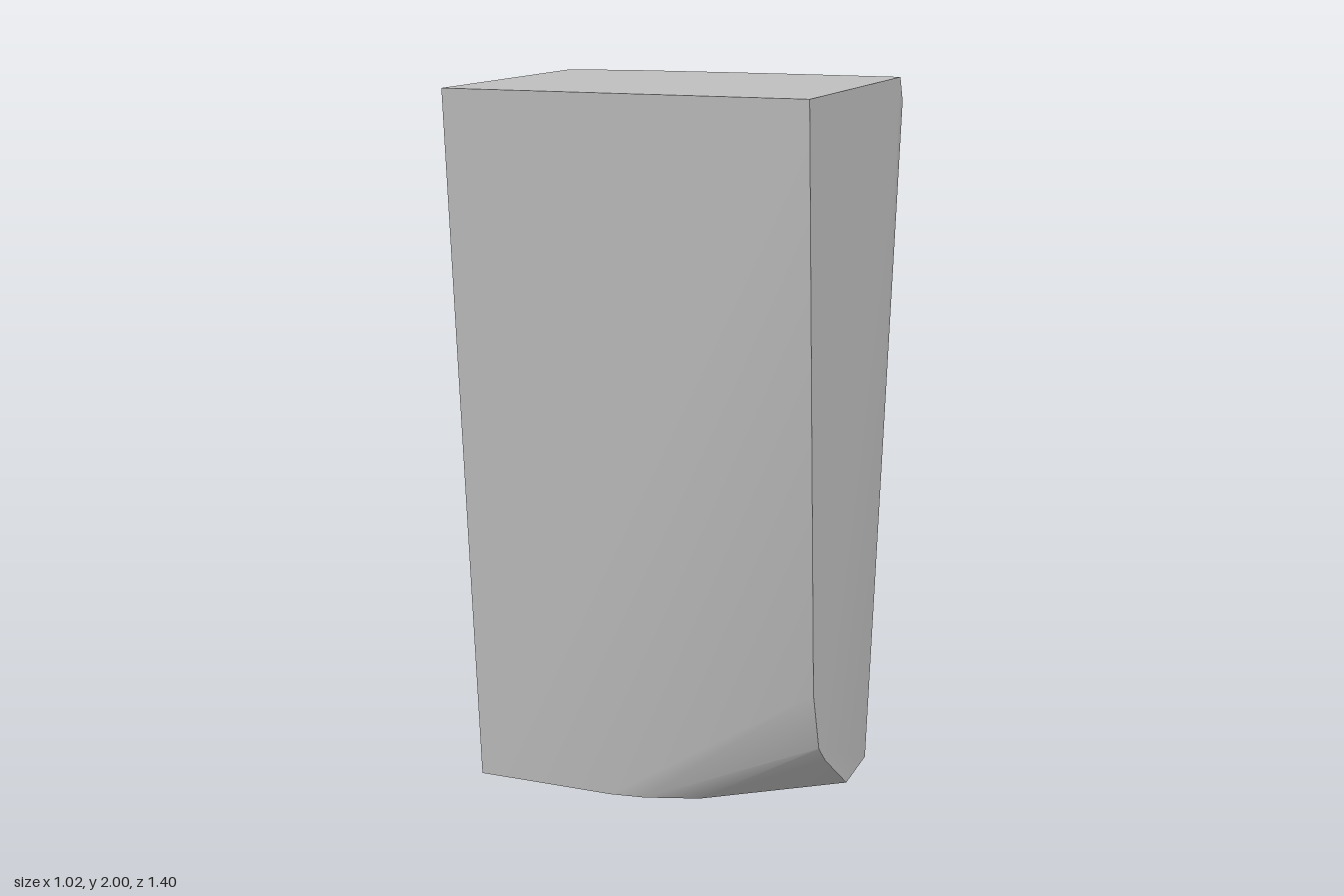
import * as THREE from 'three';
import { ConvexGeometry } from 'three/addons/geometries/ConvexGeometry.js';
import { toCreasedNormals } from 'three/addons/utils/BufferGeometryUtils.js';

export function createModel() {
  const group = new THREE.Group();
  group.name = 'stoneBlock';
  const stone = new THREE.MeshStandardMaterial({ color: 0xbfbfbf });
  stone.name = 'grey stone';

  // Corners of the chipped block, grouped by the face they outline
  const top = [
    [-0.51, 2, 0.7], [0.51, 2, 0.7], [0.51, 2, -0.13],
    [0.2, 2, -0.14], [0, 2, -0.14], [-0.33, 2, -0.13], [-0.51, 2, -0.085],
  ];
  const back = [
    [0.2, 1.67, -0.7], [0.29, 1.5, -0.7], [0.29, 0.78, -0.7], [0.25, 0.6, -0.7], [0.01, 0, -0.7],
    [-0.51, 0, -0.7], [-0.51, 0.535, -0.7], [-0.43, 0.8, -0.7], [-0.14, 1.52, -0.7], [0.01, 1.66, -0.7],
  ];
  const flatSide = [[-0.51, 1.49, -0.55], [-0.51, 1.66, -0.505], [-0.51, 1.79, -0.43]];
  const chippedSide = [
    [0.51, 1.93, -0.16], [0.51, 0, 0.09], [0.51, 0, 0.28],
    [0.51, 0.16, 0.49], [0.51, 0.22, 0.55], [0.51, 0.4, 0.605],
  ];
  const bottomFront = [[-0.51, 0, 0.6], [-0.1, 0, 0.595], [0, 0, 0.58], [0.15, 0, 0.53]];

  const corners = [...top, ...back, ...flatSide, ...chippedSide, ...bottomFront]
    .map((p) => new THREE.Vector3(...p));

  // Broad breaks stay sharp, shallow chips blend smoothly
  const body = new THREE.Mesh(toCreasedNormals(new ConvexGeometry(corners), 0.45), stone);
  body.name = 'block';
  group.add(body);
  return group;
}
